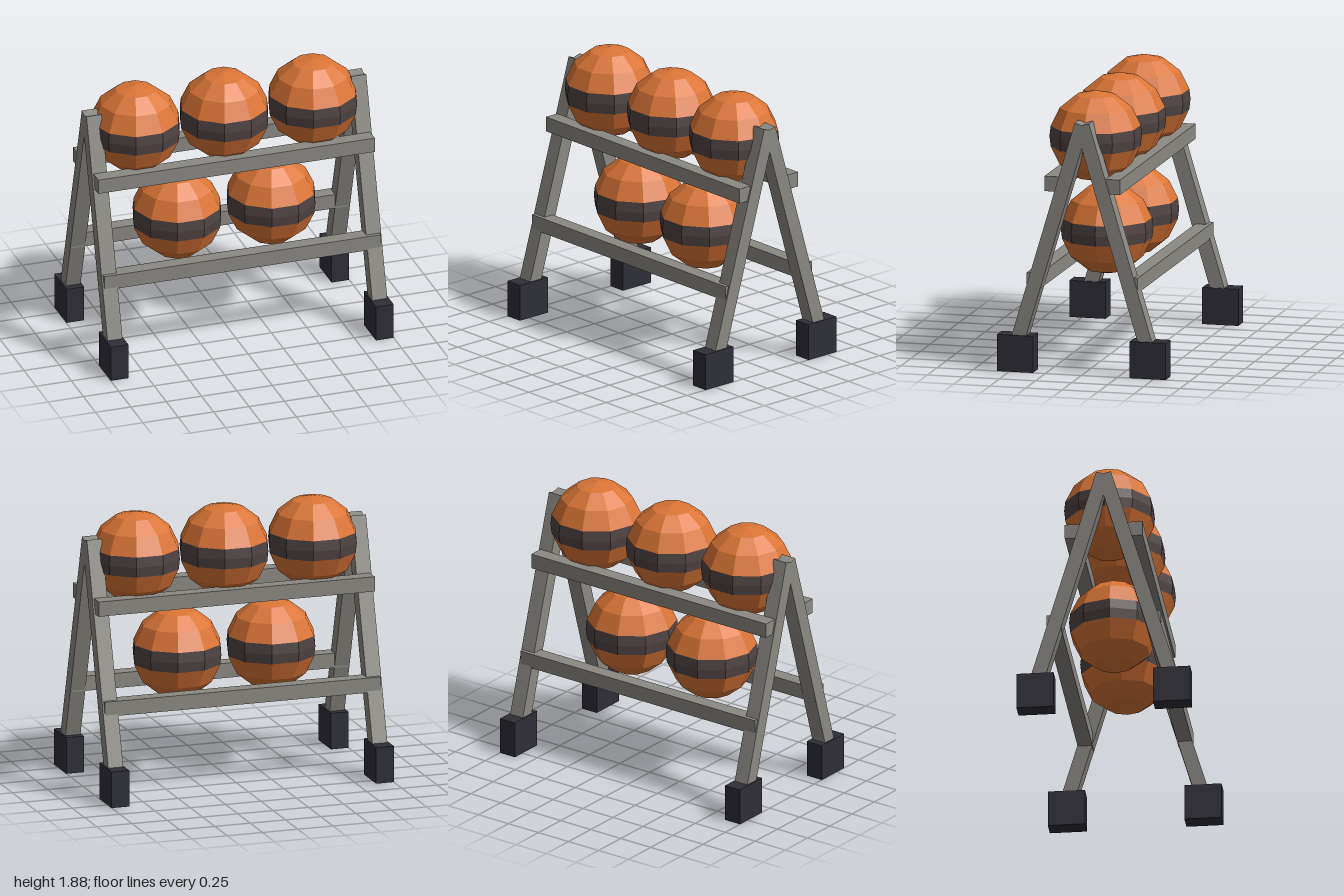
import * as THREE from 'three';

const paint = (name, color) => {
  const m = new THREE.MeshStandardMaterial({ color, flatShading: true });
  m.name = name;
  return m;
};

export function createModel() {
  const rack = new THREE.Group();
  rack.name = 'ballRack';
  const orange = paint('orange', 0xdb7536);
  const charcoal = paint('charcoal', 0x4f4343);
  const grey = paint('grey', 0x8b8983);
  const rubber = paint('rubber', 0x2f2e38);

  const add = (parent, name, geometry, material, x = 0, y = 0, z = 0) => {
    const mesh = new THREE.Mesh(geometry, material);
    mesh.name = name;
    mesh.position.set(x, y, z);
    parent.add(mesh);
    return mesh;
  };

  // A-frame legs standing in block feet
  const top = { y: 1.706, z: 0.0035 }, bottom = { y: 0.15, z: 0.465 };
  const length = Math.hypot(top.y - bottom.y, bottom.z - top.z);
  const lean = Math.atan2(bottom.z - top.z, top.y - bottom.y);
  const legGeo = new THREE.BoxGeometry(0.106, length, 0.096);
  const footGeo = new THREE.BoxGeometry(0.125, 0.25, 0.25);
  for (const sx of [-1, 1]) {
    for (const sz of [-1, 1]) {
      const leg = add(rack, 'leg', legGeo, grey,
        sx * 0.936, (top.y + bottom.y) / 2, sz * (top.z + bottom.z) / 2);
      leg.rotation.x = -sz * lean;
      add(rack, 'foot', footGeo, rubber, sx * 0.9375, 0.125, sz * 0.46);
    }
  }

  // Pairs of rails for the two shelves
  const railGeo = new THREE.BoxGeometry(1.956, 0.102, 0.1);
  for (const sz of [-1, 1]) {
    add(rack, 'upperRail', railGeo, grey, 0, 1.293, sz * 0.212);
    add(rack, 'lowerRail', railGeo, grey, 0, 0.629, sz * 0.335);
  }

  // Faceted balls: seven rings, the middle one is the band
  const ring = Math.PI / 7;
  const slice = (start, count) =>
    new THREE.SphereGeometry(0.31, 10, count, 0, Math.PI * 2, start * ring, count * ring);
  const capGeo = slice(0, 3), bandGeo = slice(3, 1), baseGeo = slice(4, 3);
  const addBall = (x, y) => {
    const ball = new THREE.Group();
    ball.name = 'ball';
    ball.position.set(x, y, 0);
    add(ball, 'ballTop', capGeo, orange);
    add(ball, 'ballBand', bandGeo, charcoal);
    add(ball, 'ballBottom', baseGeo, orange);
    rack.add(ball);
  };
  for (const x of [-0.627, 0, 0.627]) addBall(x, 1.566);
  for (const x of [-0.333, 0.333]) addBall(x, 0.877);

  return rack;
}
